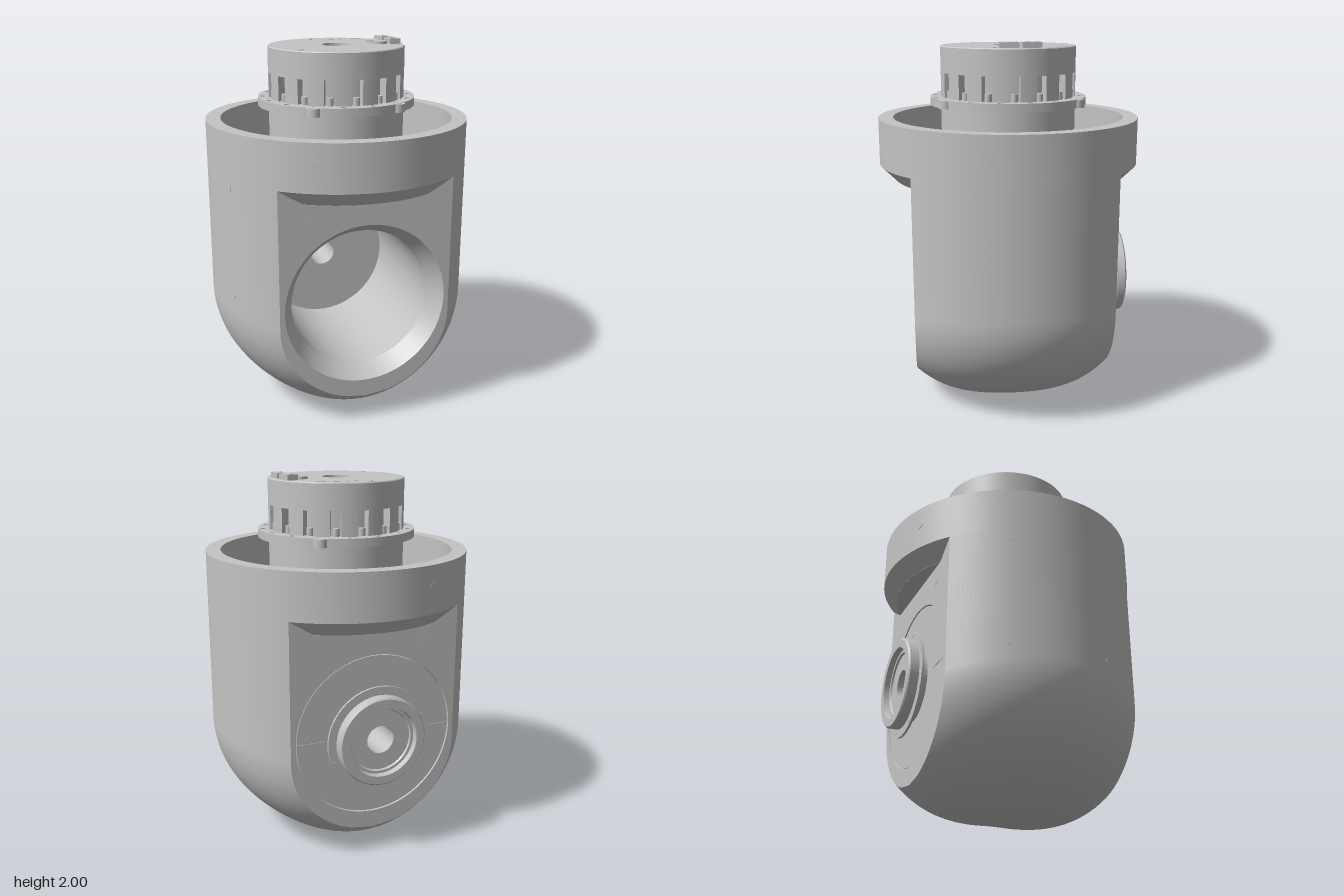
import * as THREE from 'three';
import { toCreasedNormals } from 'three/addons/utils/BufferGeometryUtils.js';

const V = (x, y, z) => new THREE.Vector3(x, y, z);

export function createModel() {
  const model = new THREE.Group();
  model.name = 'roundedJointHousing';
  const gray = new THREE.MeshStandardMaterial({ color: 0xc4c4c4 });
  gray.name = 'castGray';
  const AXIS = 0.68; // height of the horizontal bore

  const add = (name, geo, x = 0, y = 0, z = 0) => {
    const m = new THREE.Mesh(geo, gray);
    m.name = name;
    m.position.set(x, y, z);
    model.add(m);
    return m;
  };
  const box = (name, w, h, d, x, y, z) => add(name, new THREE.BoxGeometry(w, h, d), x, y, z);
  const lathe = (pts, start = 0, span = Math.PI * 2, seg = 128) =>
    toCreasedNormals(new THREE.LatheGeometry(pts.map(p => new THREE.Vector2(...p)), seg, start, span), 0.5);
  const latheZ = (pts) => lathe(pts).rotateX(Math.PI / 2);
  const slab = (shape, depth) => toCreasedNormals(
    new THREE.ExtrudeGeometry(shape, { depth, bevelEnabled: false, curveSegments: 64 }), 0.5);
  const circle = (x, y, r) => new THREE.Path().absarc(x, y, r, 0, Math.PI * 2, true);
  // Thin round plate facing along a direction
  const disc = (name, r, pos, dir, flat = 1) => {
    const m = add(name, new THREE.CylinderGeometry(r, r, 0.004, 24).rotateX(Math.PI / 2), pos.x, pos.y, pos.z);
    m.lookAt(pos.clone().add(dir));
    m.scale.y = flat;
  };
  // Screw: a low rim ring with a smaller head
  const screw = (name, r, pos, dir) => {
    disc(name + 'Rim', r, pos, dir);
    disc(name + 'Head', r * 0.6, pos.clone().addScaledVector(dir, 0.001), dir);
  };

  // Shell surface: f runs up the rounded bottom, t around the upright axis;
  // the bottom is elliptical sideways and flatter from front to back
  const TOP = 1.34;
  const shellPoint = (f, t, inset) => {
    if (f < 0) return V(0, inset, 0);
    const s2 = Math.sin(t) ** 2, flat = 0.17 * s2, up = 0.64 - 0.1 * s2, b = Math.min(f, Math.PI / 2);
    const r = flat + (0.71 - inset - flat) * Math.sin(b);
    const y = f > Math.PI / 2 ? TOP : up - (up - inset) * Math.cos(b);
    return V(r * Math.cos(t), y, r * Math.sin(t));
  };
  const shellNormal = (f, t, inset) => {
    if (f <= 0) return V(0, -1, 0);
    if (f >= Math.PI / 2) return V(Math.cos(t), 0, Math.sin(t));
    const e = 1e-4, d = (a, b) => shellPoint(f + a, t + b, inset).sub(shellPoint(f - a, t - b, inset));
    return d(e, 0).cross(d(0, e)).normalize();
  };
  const levels = (clip, inset) => {
    const mid = Math.asin((clip - 0.17) / (0.54 - inset)), list = [-1];
    for (let i = 0; i <= 10; i++) list.push(mid * i / 10);
    for (let i = 1; i <= 18; i++) list.push(mid + (Math.PI / 2 - mid) * i / 18);
    return [...list, 2];
  };
  // Angle at which a level meets the flat cut z = clip
  const cutAngle = (f, clip, inset) => {
    let lo = 0, hi = Math.PI / 2;
    if (shellPoint(f, hi, inset).z <= clip + 1e-6) return hi;
    for (let i = 0; i < 40; i++) {
      const m = (lo + hi) / 2;
      if (shellPoint(f, m, inset).z < clip) lo = m; else hi = m;
    }
    return lo;
  };
  // One curved half of the shell, cut off flat at z = +-clip
  const sideShell = (clip, turn, inset) => {
    const N = 56, pos = [], nor = [], idx = [], inside = inset > 0, rows = levels(clip, inset);
    rows.forEach((f, i) => {
      const a = cutAngle(f, clip, inset);
      for (let j = 0; j <= N; j++) {
        const t = turn + a * (2 * j / N - 1);
        pos.push(...shellPoint(f, t, inset));
        nor.push(...shellNormal(f, t, inset).multiplyScalar(inside ? -1 : 1));
        if (i < rows.length - 1 && j < N) {
          const p = i * (N + 1) + j, q = p + N + 1;
          if (inside) idx.push(p, p + 1, q, q, p + 1, q + 1);
          else idx.push(p, q, p + 1, q, q + 1, p + 1);
        }
      }
    });
    const g = new THREE.BufferGeometry();
    g.setAttribute('position', new THREE.Float32BufferAttribute(pos, 3));
    g.setAttribute('normal', new THREE.Float32BufferAttribute(nor, 3));
    g.setIndex(idx);
    return g;
  };
  for (const turn of [0, Math.PI]) {
    add('outerShell', sideShell(0.535, turn, 0));
    add('innerShell', sideShell(0.51, turn, 0.08));
  }

  // Flat front and back walls with large round openings
  const edge = levels(0.535, 0).slice(11).map(f => shellPoint(f, cutAngle(f, 0.535, 0), 0));
  const wall = new THREE.Shape();
  edge.forEach((p, i) => (i ? wall.lineTo(p.x, p.y) : wall.moveTo(0, p.y)));
  edge.slice(1).reverse().forEach(p => wall.lineTo(-p.x, p.y));
  wall.holes.push(circle(0, AXIS, 0.44));
  add('frontWall', slab(wall, 0.025), 0, 0, 0.51);
  add('backWall', slab(wall, 0.025), 0, 0, -0.535);

  // Upper collar with chamfered overhangs above the flat walls
  add('collar', lathe([[0.71, TOP], [0.71, 1.59], [0.63, 1.59], [0.63, 1.26]], 0, Math.PI * 2, 192));
  const half = Math.acos(0.51 / 0.63), ledge = new THREE.Shape();
  ledge.absarc(0, 0, 0.631, Math.PI / 2 - half, Math.PI / 2 + half, false);
  const span = Math.acos(0.535 / 0.71);
  for (const turn of [0, Math.PI]) {
    add('collarLedge', slab(ledge, 0.08).rotateX(-Math.PI / 2).rotateY(turn), 0, 1.26, 0);
    add('collarChamfer', lathe([[0.63, 1.26], [0.71, TOP]], turn - span, span * 2, 48));
  }

  // Horizontal socket and back closing plate
  add('socket', latheZ([[0.38, -0.45], [0.46, -0.45], [0.46, 0.515], [0.44, 0.535], [0.38, 0.435], [0.38, -0.45]]), 0, AXIS, 0);
  add('backPlate', latheZ([[0.075, -0.53], [0.435, -0.53], [0.435, -0.44], [0.379, -0.44], [0.379, -0.29],
    [0.075, -0.29], [0.075, -0.53]]), 0, AXIS, 0);
  for (const s of [-1, 1]) box('backPlateRib', 0.15, 0.012, 0.006, s * 0.36, AXIS, -0.53);
  // Output hub on the back
  add('outputHub', latheZ([
    [0.075, -0.605], [0.165, -0.605], [0.17, -0.615], [0.185, -0.615], [0.19, -0.645], [0.232, -0.645], [0.24, -0.637],
    [0.24, -0.59], [0.285, -0.59], [0.285, -0.578], [0.195, -0.578], [0.195, -0.52], [0.075, -0.52], [0.075, -0.605],
  ]), 0, AXIS, 0);
  for (let i = 0; i < 8; i++) {
    const a = (i + 0.5) * Math.PI / 4;
    disc('hubScrew', 0.013, V(0.263 * Math.cos(a), AXIS + 0.263 * Math.sin(a), -0.589), V(0, 0, -1));
  }

  // Access hole covers and wall screws
  for (const s of [-1, 1]) {
    screw('wallScrew', 0.025, V(-0.28, 1.17, s * 0.534), V(0, 0, s));
    disc('collarSlot', 0.05, V(-0.27, 1.48, s * 0.655), V(-0.27, 0, s * 0.655), 0.42);
    for (const y of [0.71, 1.3]) disc('sideHole', 0.022, V(-0.656, y, s * 0.27), V(-0.656, 0, s * 0.27));
  }

  // Mounting block inside the collar, held by cross pins
  box('mountingBlock', 1.09, 0.2, 0.8, 0, 1.2, -0.01);
  for (const z of [-0.46, 0.45])
    add('crossPin', new THREE.CylinderGeometry(0.04, 0.04, 0.12, 24).rotateX(Math.PI / 2), -0.275, 1.17, z);
  for (const z of [-0.495, 0.495]) box('locatingTab', 0.07, 0.06, 0.03, -0.035, 1.28, z);
  box('sideTab', 0.09, 0.02, 0.05, 0.5, 1.305, 0);
  const bolts = [[-0.44, -0.38], [-0.22, -0.38], [0.22, -0.38], [0.44, -0.38], [-0.525, -0.22], [0.525, -0.22], [-0.525, -0.035],
    [-0.525, 0.155], [0.525, 0.155], [-0.525, 0.34], [0.525, 0.34], [-0.38, 0.34], [0.38, 0.34]];
  for (const [x, z] of bolts) screw('blockBolt', 0.02, V(x, 1.3, z), V(0, 1, 0));

  // Motor: base, flange, slotted band and cap
  add('motorBase', lathe([[0, 1.29], [0.367, 1.29], [0.367, 1.66]]));
  const flange = new THREE.Shape().absarc(0, 0, 0.425, 0, Math.PI * 2, false);
  flange.holes.push(circle(0, 0, 0.3));
  for (let i = 0; i < 16; i++) {
    const a = (i + 0.5) * Math.PI / 8;
    flange.holes.push(circle(0.396 * Math.cos(a), 0.396 * Math.sin(a), 0.015));
  }
  add('motorFlange', slab(flange, 0.045).rotateX(-Math.PI / 2), 0, 1.655, 0);
  for (const [x, z] of [[0.225, -0.345], [0.225, 0.345], [-0.225, 0.345]])
    add('flangeEar', new THREE.CylinderGeometry(0.038, 0.038, 0.043, 24), x, 1.6775, z);
  add('motorCore', new THREE.CylinderGeometry(0.325, 0.325, 0.16, 64, 1, true), 0, 1.765, 0);
  const w = 0.12, post = new THREE.Shape();
  post.absarc(0, 0, 0.367, -w, w, false);
  post.absarc(0, 0, 0.31, w, -w, true);
  const postGeo = toCreasedNormals(new THREE.ExtrudeGeometry(post, { depth: 0.135, bevelEnabled: false, curveSegments: 6 }), 0.5)
    .rotateX(-Math.PI / 2);
  for (let i = 0; i < 16; i++) {
    add('motorPost', postGeo, 0, 1.698, 0).rotation.y = (i + 0.5) * Math.PI / 8;
    const a = i * Math.PI / 8;
    add('slotStud', new THREE.CylinderGeometry(0.018, 0.018, 0.04, 12), 0.345 * Math.cos(a), 1.72, 0.345 * Math.sin(a));
  }
  add('motorCap', lathe([[0.3, 1.83], [0.367, 1.83], [0.367, 1.965], [0.362, 1.97], [0.075, 1.97], [0.075, 1.85], [0, 1.85]]));

  // Cap details: screws, connectors and capacitors
  for (const [x, z] of [[-0.055, -0.32], [-0.25, 0.2], [0.3, 0.11]]) screw('capScrew', 0.022, V(x, 1.969, z), V(0, 1, 0));
  box('capPad', 0.065, 0.006, 0.04, 0.03, 1.9685, -0.275);
  for (const [x, z] of [[0.12, -0.265], [0.19, -0.26]]) box('capSocket', 0.055, 0.008, 0.03, x, 1.9675, z);
  for (const [x, z, turn] of [[0.3, -0.09, 0.12], [0.31, 0.025, 0]]) {
    box('connectorBlock', 0.06, 0.035, 0.1, x, 1.981, z).rotation.y = turn;
    for (const d of [-0.024, 0.024]) disc('connectorPin', 0.015, V(x, 1.998, z + d), V(0, 1, 0));
  }
  for (const [x, z] of [[0.23, -0.065], [0.24, 0.02]])
    add('capacitor', new THREE.CylinderGeometry(0.04, 0.04, 0.014, 32), x, 1.976, z);
  return model;
}
